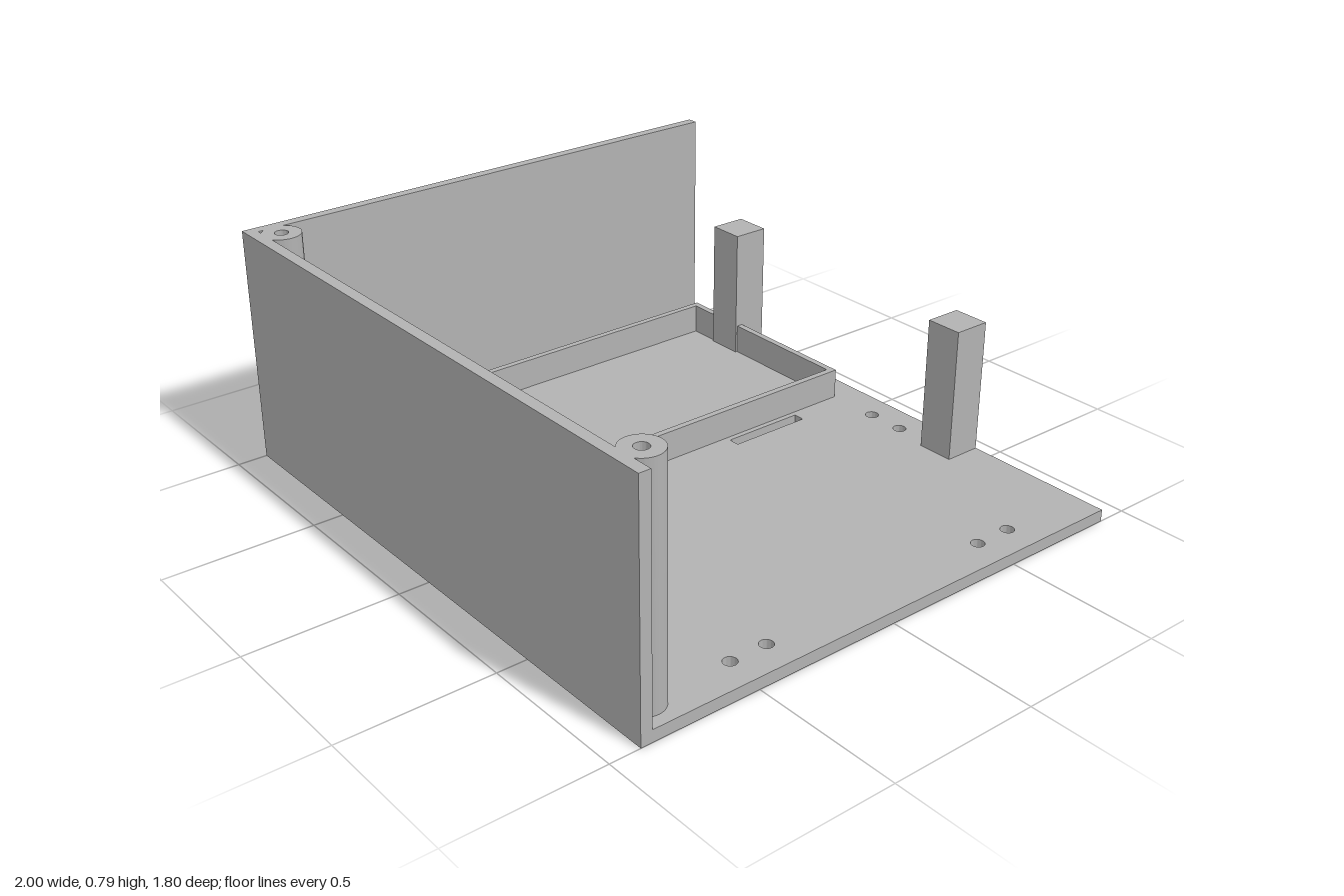
import * as THREE from 'three';
import { toCreasedNormals } from 'three/addons/utils/BufferGeometryUtils.js';

const FLOOR = 0.04, WALL_TOP = 0.79;

export function createModel() {
  const group = new THREE.Group();
  const grey = new THREE.MeshStandardMaterial({ color: 0xb2b2b2 });
  grey.name = 'grey plastic';

  const add = (name, geometry) => {
    const mesh = new THREE.Mesh(geometry, grey);
    mesh.name = name;
    group.add(mesh);
  };

  // Box given by its lower and upper limits on each axis
  const box = (name, x0, x1, y0, y1, z0, z1) => {
    const g = new THREE.BoxGeometry(x1 - x0, y1 - y0, z1 - z0);
    add(name, g.translate((x0 + x1) / 2, (y0 + y1) / 2, (z0 + z1) / 2));
  };

  // Plan outlines are drawn with shape y = -z, then extruded upwards
  const rect = (path, x0, x1, z0, z1) =>
    path.moveTo(x0, -z1).lineTo(x1, -z1).lineTo(x1, -z0).lineTo(x0, -z0).closePath();
  const circle = (path, x, z, r) => path.absarc(x, -z, r, 0, Math.PI * 2);
  const extrude = (name, shape, y0, y1) => {
    const g = new THREE.ExtrudeGeometry(shape, { depth: y1 - y0, bevelEnabled: false, curveSegments: 32 });
    add(name, toCreasedNormals(g.rotateX(-Math.PI / 2).translate(0, y0, 0), 0.6));
  };

  // Floor plate with screw holes and strap slots
  const floor = rect(new THREE.Shape(), -1, 1, -0.9, 0.9);
  const screwHoles = [[0.095, -0.805], [0.225, -0.805], [0.895, -0.585], [0.895, -0.455], [0.895, 0.385], [0.895, 0.515]];
  for (const [x, z] of screwHoles) floor.holes.push(circle(new THREE.Path(), x, z, 0.022));
  for (const x of [-0.875, -0.048])
    for (const z of [-0.455, 0.24])
      floor.holes.push(rect(new THREE.Path(), x - 0.019, x + 0.019, z - 0.145, z + 0.145));
  extrude('floorPlate', floor, 0, FLOOR);

  // Front wall and side wall
  box('frontWall', -1, 1, FLOOR, WALL_TOP, 0.862, 0.9);
  box('sideWall', -1, -0.965, FLOOR, WALL_TOP, -0.9, 0.862);

  // Rim of the battery tray
  const rim = rect(new THREE.Shape(), -0.833, -0.085, -0.802, 0.615);
  rim.holes.push(rect(new THREE.Path(), -0.811, -0.107, -0.78, 0.593));
  extrude('trayRim', rim, FLOOR, 0.142);

  // Square support posts
  for (const x of [-0.64, 0.417])
    for (const z of [-0.836, 0.643])
      box('supportPost', x - 0.063, x + 0.063, FLOOR, 0.49, z - 0.063, z + 0.063);

  // Corner screw pillars with blind holes
  for (const x of [-0.912, 0.897]) {
    const solid = circle(new THREE.Shape(), x, 0.81, 0.063);
    extrude('pillarBase', solid, FLOOR, 0.45);
    const drilled = circle(new THREE.Shape(), x, 0.81, 0.063);
    drilled.holes.push(circle(new THREE.Path(), x, 0.81, 0.022));
    extrude('pillarTop', drilled, 0.45, WALL_TOP);
  }

  return group;
}
